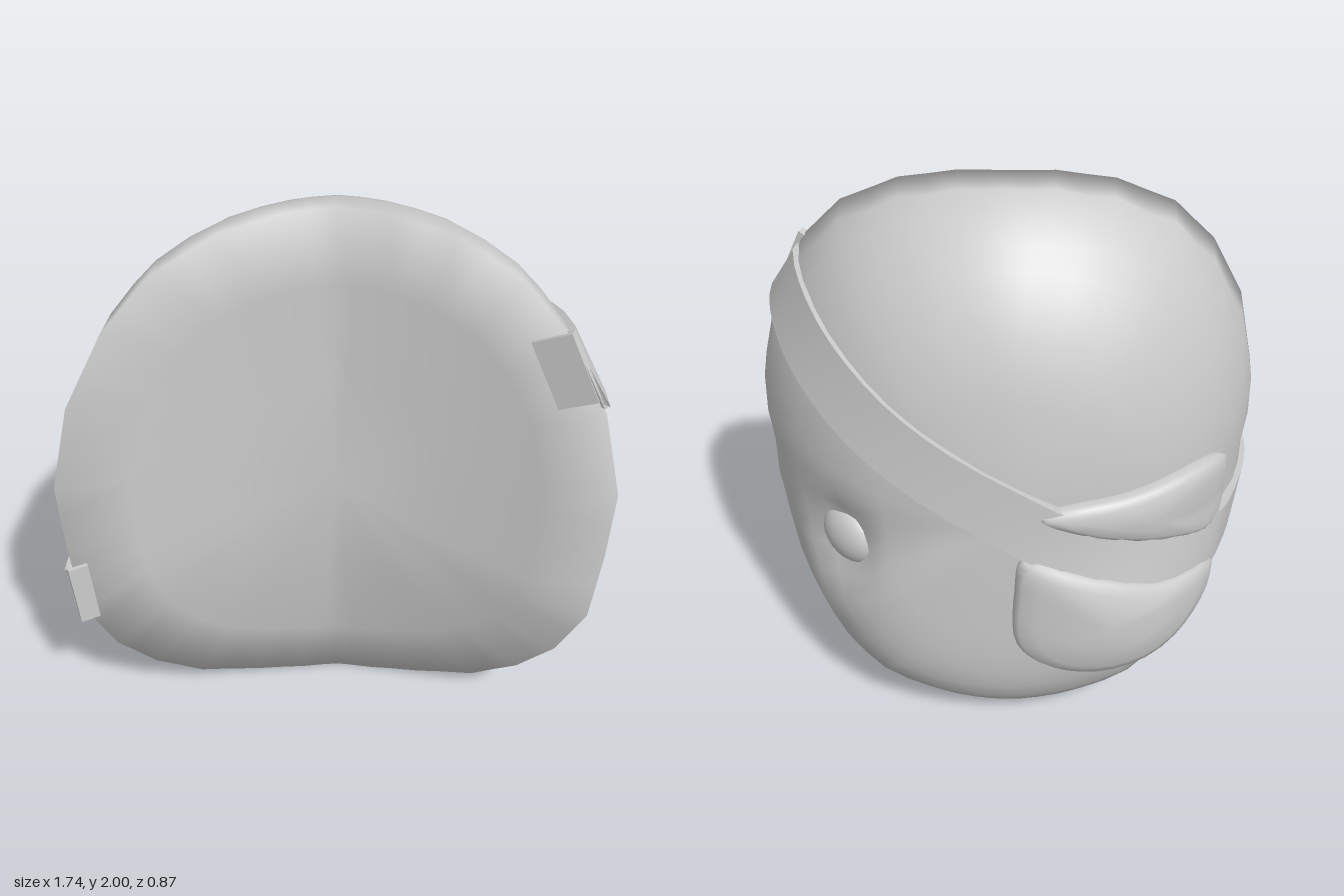
import * as THREE from 'three';
import { mergeVertices, toCreasedNormals } from 'three/addons/utils/BufferGeometryUtils.js';

const V3 = (x, y, z) => new THREE.Vector3(x, y, z);
const { smoothstep } = THREE.MathUtils;
const CY = 1, APEX = -0.36;
const EYE = [0.575, 0.8];

// Right half of the rim outline, bottom to top; the left half is mirrored
const half = [[0, 0], [0.13, 0.005], [0.3, 0.035], [0.5, 0.1], [0.65, 0.23], [0.76, 0.4], [0.835, 0.64],
  [0.857, 0.92], [0.865, 1.17], [0.8, 1.45], [0.68, 1.68], [0.535, 1.84], [0.34, 1.945], [0.15, 1.99], [0, 2]];
const polar = half.map(([x, y]) => [Math.atan2(y - CY, x), Math.hypot(x, y - CY)]);

// Rim radius in the direction of (x, y - CY)
function rimRadius(x, y) {
  const a = Math.atan2(y - CY, Math.abs(x));
  for (let i = 1; i < polar.length; i++) {
    const [a0, r0] = polar[i - 1], [a1, r1] = polar[i];
    if (a <= a1 + 1e-9) return r0 + (r1 - r0) * Math.max(0, (a - a0) / (a1 - a0));
  }
  return 1;
}

// Front face: bent around the vertical axis, receding at the chin
const frontZ = (x, y) =>
  0.165 + 0.13 * Math.abs(x) + 0.2 * x * x - 0.125 * Math.max(0, 1 - y / 0.65);

// Domed face: fuller towards the chin
function domePoint(x, y) {
  const dy = y - CY, r = Math.hypot(x, dy) || 1e-6, R = rimRadius(x, y);
  const s = Math.min(1, r / R), ux = x / r, uy = dy / r;
  const p = 2.1 + 0.25 * Math.max(0, uy) ** 2 + 4.9 * Math.max(0, -uy) ** 3;
  const zr = frontZ(ux * R, CY + uy * R);
  const h = Math.sqrt(Math.max(0, 1 - s ** p));
  return V3(ux * s * R, CY + uy * s * R, zr + (APEX - zr) * h);
}

function domeNormal(x, y) {
  const e = 0.006, z = (a, b) => domePoint(a, b).z;
  return V3((z(x + e, y) - z(x - e, y)) / (2 * e), (z(x, y + e) - z(x, y - e)) / (2 * e), -1).normalize();
}

const raised = (x, y, d) => domePoint(x, y).addScaledVector(domeNormal(x, y), d);

// Skin a list of closed cross-sections
function loft(rings) {
  const n = rings[0].length, index = [];
  for (let i = 0; i < rings.length - 1; i++) {
    for (let j = 0; j < n; j++) {
      const k = (j + 1) % n, a = i * n + j, b = a + n, c = (i + 1) * n + k, d = i * n + k;
      index.push(a, b, c, a, c, d);
    }
  }
  let g = new THREE.BufferGeometry().setFromPoints(rings.flat());
  g.setIndex(index);
  g = mergeVertices(g, 1e-5);
  g.computeVertexNormals();
  return g;
}

function headGeometry() {
  const corners = [...half, ...half.slice(1, -1).reverse().map(([x, y]) => [-x, y])];
  const rim = corners.flatMap(([x, y], i) => {
    const [u, v] = corners[(i + 1) % corners.length];
    return [[x, y], [(x + u) / 2, (y + v) / 2]];
  });
  const ring = (s, fn) => rim.map(([x, y]) => fn(x * s, CY + (y - CY) * s));
  // Dome with a small socket pressed in around the eye
  const socket = domePoint(...EYE), inward = domeNormal(...EYE).negate();
  const dented = (x, y) => {
    const p = domePoint(x, y);
    return p.addScaledVector(inward, 0.08 * Math.exp(-((p.distanceTo(socket) / 0.13) ** 2)));
  };
  const front = [0, 0.4, 0.75, 1].map((s) => ring(s, (x, y) => V3(x, y, frontZ(x, y))));
  const dome = [0.985, 0.95, 0.89, 0.82, 0.74, 0.66, 0.57, 0.46, 0.25, 0].map((s) => ring(s, dented));
  return loft([...front, ...dome]);
}

// Padded half of the eye patch, following the dome
function padGeometry(outline, height) {
  const pts = new THREE.CatmullRomCurve3(outline.map(([x, y]) => V3(x, y, 0)), true).getPoints(40).slice(0, -1);
  const c = V3(0, 0, 0);
  pts.forEach((p) => c.addScaledVector(p, 1 / pts.length));
  const steps = [[1, -0.03], [1, 0.4], [0.93, 0.65], [0.75, 0.85], [0.4, 1], [0, 1]];
  return loft(steps.map(([s, d]) =>
    pts.map((p) => raised(c.x + (p.x - c.x) * s, c.y + (p.y - c.y) * s, d * height))));
}

// Strap: band running diagonally over the dome between the two pads
function strapGeometry() {
  const path = new THREE.SplineCurve([[0.77, 1.585], [0.7, 1.55], [0.6, 1.47], [0.4, 1.32], [0.13, 1.15],
    [-0.28, 0.91], [-0.6, 0.77], [-0.76, 0.73], [-0.85, 0.72]].map(([x, y]) => new THREE.Vector2(x, y)));
  const rings = [], N = 44, w = 0.108;
  for (let i = 0; i <= N; i++) {
    const t = 0.5 - 0.5 * Math.cos((Math.PI * i) / N);
    const c = path.getPoint(t), d = path.getTangent(t);
    const top = 0.018 + 0.02 * smoothstep(-c.x, 0, 0.15) * (1 - smoothstep(-c.x, 0.68, 0.8));
    const corner = (side, off) => raised(c.x + d.y * w * side, c.y - d.x * w * side, off);
    rings.push([corner(-1, top), corner(1, top), corner(1, -0.01), corner(-1, -0.01)]);
  }
  const cap = (ring) => {
    const m = V3(0, 0, 0);
    ring.forEach((p) => m.addScaledVector(p, 0.25));
    return ring.map(() => m.clone());
  };
  return toCreasedNormals(loft([cap(rings[0]), ...rings, cap(rings[N])]), 0.8);
}

export function createModel() {
  const model = new THREE.Group();
  const clay = new THREE.MeshStandardMaterial({ color: 0xcccccc });
  clay.name = 'light grey';
  const add = (name, geometry) => {
    const mesh = new THREE.Mesh(geometry, clay);
    mesh.name = name;
    model.add(mesh);
    return mesh;
  };

  add('head', headGeometry());
  add('patchUpper', padGeometry([[-0.18, 1.1], [-0.4, 1.11], [-0.64, 1.12], [-0.715, 1.08], [-0.725, 0.95],
    [-0.7, 0.81], [-0.55, 0.86], [-0.35, 0.94], [-0.2, 1.01], [-0.1, 1.07]], 0.055));
  add('patchLower', padGeometry([[-0.04, 0.53], [-0.03, 0.75], [-0.06, 0.9], [-0.28, 0.82], [-0.5, 0.72],
    [-0.69, 0.66], [-0.69, 0.54], [-0.58, 0.42], [-0.36, 0.38], [-0.15, 0.42]], 0.075));
  add('strap', strapGeometry());

  // Strap ends folded over the rim
  const tabs = [['strapEndUpper', 0.675, 1.57, 0.13, -0.39, 0.46], ['strapEndLower', -0.83, 0.72, 0.065, 0.43, 0.07]];
  for (const [name, x, y, w, ry, rz] of tabs) {
    const tab = add(name, new THREE.BoxGeometry(w, 0.235, 0.03));
    tab.position.set(x, y, frontZ(x, y) - 0.002);
    tab.rotation.set(0, ry, rz, 'YXZ');
  }

  // Open eye resting in its socket
  const eye = add('eye', new THREE.SphereGeometry(1, 20, 14));
  eye.scale.set(0.12, 0.105, 0.06);
  eye.position.copy(raised(...EYE, -0.065));
  eye.lookAt(eye.position.clone().add(domeNormal(...EYE)));

  return model;
}
